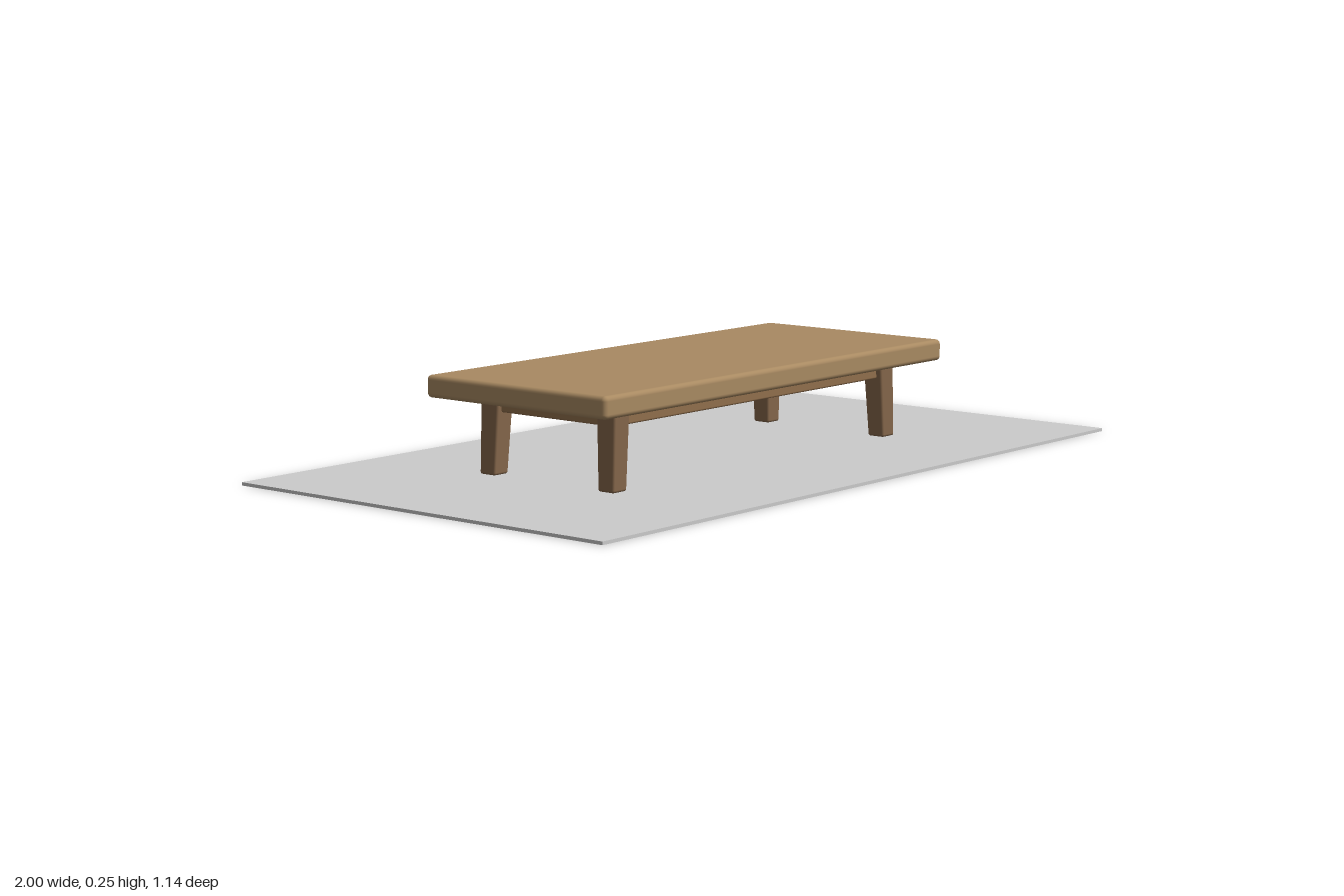
import * as THREE from 'three';
import { RoundedBoxGeometry } from 'three/addons/geometries/RoundedBoxGeometry.js';

const material = (color) => new THREE.MeshStandardMaterial({ color });

export function createModel() {
  const model = new THREE.Group();
  model.name = 'lowTable';
  const topWood = material(0xa98a62);
  const legWood = material(0x84664a);
  const railWood = material(0x916f4c);

  const add = (name, geometry, mat, x, y, z) => {
    const mesh = new THREE.Mesh(geometry, mat);
    mesh.name = name;
    mesh.position.set(x, y, z);
    model.add(mesh);
    return mesh;
  };

  // Thin floor slab
  add('floorSlab', new THREE.BoxGeometry(2, 0.008, 1.14), material(0xcccccc), 0, 0.004, 0);

  // Table top with softened edges
  add('tableTop', new RoundedBoxGeometry(1.33, 0.055, 0.57, 3, 0.012), topWood, 0, 0.2275, 0);

  // Leg for the +x, +z corner: the inner faces taper towards the foot
  const legGeometry = (sx, sz) => {
    const height = 0.192;
    const geometry = new RoundedBoxGeometry(0.056, height, 0.056, 2, 0.006);
    const p = geometry.attributes.position;
    for (let i = 0; i < p.count; i++) {
      const t = p.getY(i) / height + 0.5;
      const u = (p.getX(i) * sx) / 0.056 + 0.5;
      const v = (p.getZ(i) * sz) / 0.056 + 0.5;
      const xIn = THREE.MathUtils.lerp(0.508, 0.495, t);
      const xOut = THREE.MathUtils.lerp(0.556, 0.55, t);
      const zIn = THREE.MathUtils.lerp(0.165, 0.156, t);
      p.setX(i, sx * THREE.MathUtils.lerp(xIn, xOut, u));
      p.setZ(i, sz * THREE.MathUtils.lerp(zIn, 0.214, v));
    }
    return geometry;
  };
  for (const sx of [-1, 1]) {
    for (const sz of [-1, 1]) {
      const name = (sz > 0 ? 'front' : 'back') + (sx > 0 ? 'Left' : 'Right') + 'Leg';
      add(name, legGeometry(sx, sz), legWood, 0, 0.104, 0);
    }
  }

  // Rails joining the legs
  for (const s of [-1, 1]) {
    add(s > 0 ? 'frontRail' : 'backRail',
      new RoundedBoxGeometry(1.02, 0.03, 0.026, 2, 0.005), railWood, 0, 0.176, s * 0.185);
    add(s > 0 ? 'leftRail' : 'rightRail',
      new RoundedBoxGeometry(0.026, 0.03, 0.34, 2, 0.005), railWood, s * 0.524, 0.176, 0);
  }
  return model;
}
